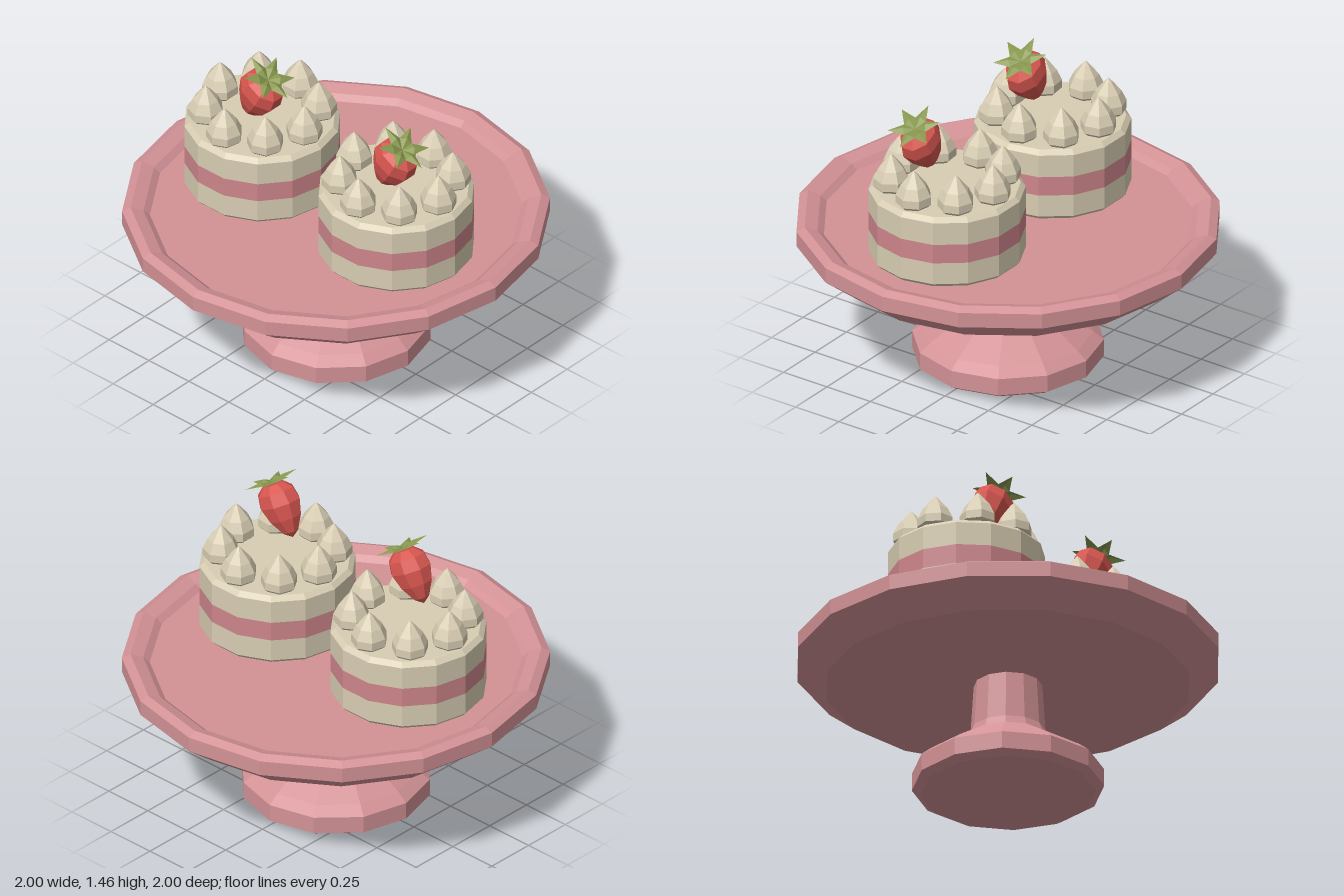
import * as THREE from 'three';

const mat = (name, color) => {
  const m = new THREE.MeshStandardMaterial({ color });
  m.name = name;
  return m;
};

// Unshared corners give every facet its own flat normal
function faceted(geometry) {
  const g = geometry.index ? geometry.toNonIndexed() : geometry;
  g.computeVertexNormals();
  return g;
}

// Faceted turned part from [radius, height] pairs, listed bottom to top
function turned(name, profile, sides, material, turn = 0) {
  const points = profile.map(([r, y]) => new THREE.Vector2(r, y));
  const g = new THREE.LatheGeometry(points, sides);
  g.rotateY(turn);
  const mesh = new THREE.Mesh(faceted(g), material);
  mesh.name = name;
  return mesh;
}

// Pointed leaf along +z with a raised middle rib
function leafGeometry() {
  const base = [0, 0, 0], rib = [0, 0.024, 0.055], tip = [0, 0.02, 0.13];
  const left = [0.032, 0.008, 0.05], right = [-0.032, 0.008, 0.05];
  const corners = [base, left, rib, left, tip, rib, base, rib, right, right, rib, tip];
  const g = new THREE.BufferGeometry();
  g.setAttribute('position', new THREE.Float32BufferAttribute(corners.flat().reverse().length ? corners.flat() : [], 3));
  g.computeVertexNormals();
  return g;
}

export function createModel() {
  const china = mat('pink china', 0xd39296);
  const cream = mat('cream', 0xd8cdb3);
  const jam = mat('pink filling', 0xcd858b);
  const red = mat('strawberry red', 0xd8564f);
  const green = mat('leaf green', 0x8a9a50);
  green.side = THREE.DoubleSide;

  const model = new THREE.Group();
  model.name = 'cakeStand';

  // Footed stand
  model.add(turned('pedestal', [
    [0, 0], [0.41, 0], [0.45, 0.025], [0.45, 0.11], [0.4, 0.15],
    [0.19, 0.28], [0.175, 0.32], [0.16, 0.56],
  ], 12, china));
  model.add(turned('plate', [
    [0, 0.55], [0.86, 0.55], [1, 0.66], [1, 0.735], [0.96, 0.755],
    [0.9, 0.735], [0.87, 0.71], [0, 0.71],
  ], 16, china));

  const leaf = leafGeometry();

  function strawberry() {
    const group = new THREE.Group();
    group.name = 'strawberry';
    const body = turned('strawberryBody', [
      [0, 0], [0.035, 0.03], [0.072, 0.1], [0.092, 0.175],
      [0.082, 0.235], [0.045, 0.272], [0, 0.275],
    ], 8, red, Math.PI / 8);
    body.scale.x = 1.25;
    group.add(body);
    // Crown of leaves
    for (let i = 0; i < 6; i++) {
      const l = new THREE.Mesh(leaf, green);
      l.name = 'strawberryLeaf';
      l.position.y = 0.274;
      l.rotation.y = (i + 0.5) * Math.PI / 3;
      group.add(l);
    }
    group.position.set(-0.01, 1.14, 0.095);
    group.rotation.z = -0.5;
    return group;
  }

  function cake(x) {
    const group = new THREE.Group();
    group.name = 'cake';
    const turn = Math.PI / 14;
    // Sponge layers with a band of filling between
    group.add(turned('lowerLayer', [[0, 0.711], [0.35, 0.711], [0.368, 0.73], [0.368, 0.84]], 14, cream, turn));
    group.add(turned('filling', [[0.368, 0.84], [0.368, 0.937]], 14, jam, turn));
    group.add(turned('upperLayer', [[0.368, 0.937], [0.368, 1.05], [0.345, 1.072], [0, 1.072]], 14, cream, turn));
    // Ring of piped cream
    for (let i = 0; i < 8; i++) {
      const a = i * Math.PI / 4;
      const d = turned('creamDollop', [
        [0.065, 0], [0.086, 0.02], [0.086, 0.06], [0.062, 0.11], [0.022, 0.16], [0, 0.183],
      ], 7, cream);
      d.position.set(Math.sin(a) * 0.264, 1.068, Math.cos(a) * 0.264);
      d.rotation.y = a;
      group.add(d);
    }
    group.add(strawberry());
    group.position.set(x, 0, 0.047);
    return group;
  }

  model.add(cake(-0.42), cake(0.42));
  return model;
}
